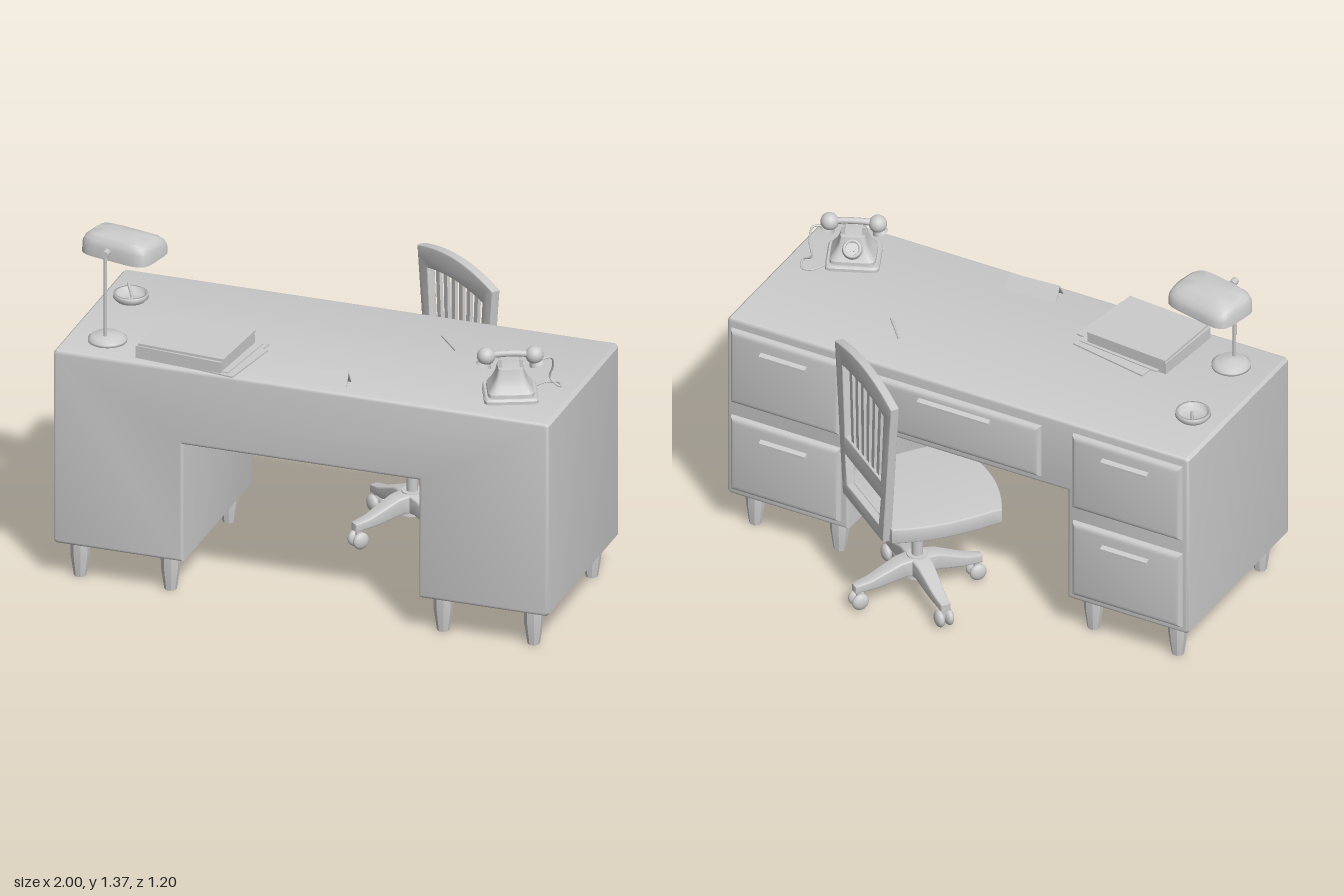
import * as THREE from 'three';
import { toCreasedNormals } from 'three/addons/utils/BufferGeometryUtils.js';

const mat = new THREE.MeshStandardMaterial({ color: 0xcccccc });
const thinMat = new THREE.MeshStandardMaterial({ color: 0xcccccc, side: THREE.DoubleSide });
const V = (x, y, z) => new THREE.Vector3(x, y, z);

function add(parent, name, geo, x = 0, y = 0, z = 0, material = mat) {
  const m = new THREE.Mesh(geo, material);
  m.name = name;
  m.position.set(x, y, z);
  parent.add(m);
  return m;
}
function addGroup(parent, name, x, y, z, turn = 0) {
  const g = new THREE.Group();
  g.name = name;
  g.position.set(x, y, z);
  g.rotation.y = turn;
  parent.add(g);
  return g;
}
const box = (w, h, d) => new THREE.BoxGeometry(w, h, d);
const cyl = (a, b, h, n = 24) => new THREE.CylinderGeometry(a, b, h, n);
const tube = (pts, r, n = 32) => new THREE.TubeGeometry(new THREE.CatmullRomCurve3(pts), n, r, 8);
const poly = pts => new THREE.Shape(pts.map(p => new THREE.Vector2(...p)));
const lathe = (pts, n = 32) => new THREE.LatheGeometry(pts.map(p => new THREE.Vector2(...p)), n);

// Extrusion centred on z = 0 with an optional bevel inside the total depth
function slab(shape, depth, bevel = 0, size = bevel) {
  const g = new THREE.ExtrudeGeometry(shape, {
    depth: depth - 2 * bevel, bevelEnabled: bevel > 0, bevelThickness: bevel,
    bevelSize: size, bevelOffset: -size, bevelSegments: 3, curveSegments: 16,
  });
  g.translate(0, 0, -depth / 2 + bevel);
  return toCreasedNormals(g, 0.6);
}

// Lathe profile squared off into a rounded rectangle plan of half sizes hx, hz
function squareLoft(profile, hx, hz, power = 5) {
  const g = lathe(profile, 64);
  const p = g.attributes.position;
  for (let i = 0; i < p.count; i++) {
    const x = p.getX(i), z = p.getZ(i), r = Math.hypot(x, z);
    if (r < 1e-6) continue;
    const f = Math.pow(Math.abs(x / r) ** power + Math.abs(z / r) ** power, -1 / power);
    p.setXYZ(i, x * f * hx, p.getY(i), z * f * hz);
  }
  return toCreasedNormals(g, 0.5);
}

function buildDesk(root) {
  const desk = addGroup(root, 'desk', 0, 0, 0);
  // Body: one arch-shaped block with softened edges
  const body = poly([[-1, .162], [-.988, .15], [-.475, .15], [-.475, .64], [.475, .64], [.475, .15],
    [.988, .15], [1, .162], [1, .943], [.988, .955], [-.988, .955], [-1, .943]]);
  add(desk, 'deskBody', slab(body, .795, .015), 0, 0, .19);
  // Drawers: centre x, centre y, width, height, handle width
  const drawers = [[0, .79, .73, .23, .31]];
  for (const s of [-1, 1]) for (const y of [.748, .35]) drawers.push([s * .74, y, .475, .335, .2]);
  for (const [x, y, w, h, hw] of drawers) {
    const face = poly([[-w / 2, -h / 2], [w / 2, -h / 2], [w / 2, h / 2], [-w / 2, h / 2]]);
    add(desk, 'drawer', slab(face, .05, .02, .025), x, y, -.205);
    const grip = poly([[0, 0], [.02, .012], [.02, .022], [0, .03]]);
    const handle = add(desk, 'drawerHandle', slab(grip, hw), x, y + h * .24, -.228);
    handle.rotation.y = Math.PI / 2;
  }
  // Tapered legs
  for (const x of [-.915, -.55, .55, .915]) for (const z of [-.135, .515]) {
    const geo = lathe([[0, 0], [.024, 0], [.037, .09], [.038, .155]], 8);
    geo.rotateY(Math.PI / 8);
    add(desk, 'deskLeg', toCreasedNormals(geo, .3), x, 0, z);
  }
}

function buildChair(root) {
  const chair = addGroup(root, 'chair', .145, 0, -.26, -.6435);
  // Seat
  const seat = new THREE.Shape();
  seat.moveTo(-.21, .2);
  seat.bezierCurveTo(-.26, .06, -.265, -.05, -.25, -.24);
  seat.quadraticCurveTo(0, -.36, .25, -.24);
  seat.bezierCurveTo(.265, -.05, .26, .06, .21, .2);
  seat.closePath();
  const seatMesh = add(chair, 'seat', slab(seat, .065, .006), 0, .442, 0);
  seatMesh.rotation.x = -Math.PI / 2;
  // Back frame with two openings
  const back = new THREE.Shape();
  back.moveTo(-.185, .41);
  back.lineTo(.185, .41);
  back.bezierCurveTo(.21, .6, .235, .85, .26, 1.06);
  back.quadraticCurveTo(0, 1.14, -.26, 1.06);
  back.bezierCurveTo(-.235, .85, -.21, .6, -.185, .41);
  back.holes.push(poly([[-.145, .47], [-.165, .6], [.165, .6], [.145, .47]]));
  const top = new THREE.Path();
  top.moveTo(-.165, .68);
  top.lineTo(-.19, .99);
  top.quadraticCurveTo(0, 1.03, .19, .99);
  top.lineTo(.165, .68);
  back.holes.push(top);
  add(chair, 'backFrame', slab(back, .035, .004), 0, 0, -.21);
  // Fanned slats
  for (let i = 0; i < 6; i++) {
    const t = (i - 2.5) / 3.5;
    const slat = add(chair, 'backSlat', box(.024, .35, .014), t * .175, .842, -.21);
    slat.rotation.z = -t * .08;
  }
  // Column and hub
  add(chair, 'column', cyl(.022, .022, .27), 0, .28, 0);
  add(chair, 'seatMount', cyl(.035, .03, .03), 0, .4, 0);
  add(chair, 'hub', cyl(.04, .055, .09), 0, .14, 0);
  // Four splayed legs with twin-wheel casters
  for (let i = 0; i < 4; i++) {
    const leg = addGroup(chair, 'chairLeg', 0, 0, 0, i * Math.PI / 2);
    const side = poly([[0, .1], [.06, .11], [.18, .085], [.265, .08], [.265, .11], [.2, .125], [.08, .175], [0, .185]]);
    const geo = slab(side, .08, .008);
    const p = geo.attributes.position;
    for (let k = 0; k < p.count; k++) p.setZ(k, p.getZ(k) * (1 - 1.9 * p.getX(k)));
    add(leg, 'legArm', toCreasedNormals(geo, .6));
    add(leg, 'casterStem', cyl(.01, .01, .05, 12), .245, .065, 0);
    for (const s of [-1, 1]) {
      const wheel = add(leg, 'casterWheel', new THREE.SphereGeometry(.034, 20, 14), .245, .04, s * .019);
      wheel.scale.z = .55;
    }
  }
}

function buildLamp(root) {
  const lamp = addGroup(root, 'lamp', -.835, 0, .43);
  add(lamp, 'lampBase', lathe([[0, .953], [.075, .953], [.075, .965], [.06, .977], [.02, .986], [0, .988]]));
  add(lamp, 'lampPole', tube([V(0, .98, .025), V(0, 1.2, .026), V(0, 1.32, .026)], .007));
  const knob = add(lamp, 'lampJoint', cyl(.014, .014, .03, 16), 0, 1.325, .02);
  knob.rotation.x = Math.PI / 2;
  // Open shade, sloping down toward the sitter
  const geo = squareLoft([[1, 0], [.99, .045], [.93, .065], [.8, .08], [.45, .088], [0, .09]], .15, .105);
  const p = geo.attributes.position;
  for (let i = 0; i < p.count; i++) {
    const drop = Math.max(0, -p.getZ(i)) / .105;
    p.setY(i, p.getY(i) * (1 - .4 * drop * drop));
  }
  add(lamp, 'lampShade', toCreasedNormals(geo, .5), .03, 1.282, -.11, thinMat).rotation.y = -.22;
}

function buildPhone(root) {
  const phone = addGroup(root, 'telephone', .77, .953, .375, .41);
  add(phone, 'phoneBase', squareLoft([[0, 0], [1, 0], [1, .014], [.94, .022], [0, .022]], .104, .097, 10));
  add(phone, 'phoneBody', squareLoft([[0, .01], [.9, .01], [.88, .035], [.7, .06], [.56, .09], [.48, .125], [0, .13]], .1, .093, 7));
  // Dial
  const dial = addGroup(phone, 'dial', 0, .083, -.06);
  dial.rotation.x = -.85;
  add(dial, 'dialPlate', cyl(.036, .04, .016));
  add(dial, 'dialHub', cyl(.013, .013, .012, 20), 0, .012, 0);
  const ring = add(dial, 'dialRing', new THREE.TorusGeometry(.031, .006, 10, 32), 0, .01, 0);
  ring.rotation.x = Math.PI / 2;
  // Cradle and handset
  for (const s of [-1, 1]) {
    for (const z of [-.02, .02]) add(phone, 'cradleProng', box(.012, .04, .01), s * .04, .138, z);
    add(phone, 'handsetEnd', new THREE.SphereGeometry(.035, 24, 16), s * .092, .165, 0);
    add(phone, 'handsetCup', cyl(.022, .03, .022), s * .098, .137, 0).rotation.z = s * .35;
  }
  add(phone, 'handsetBar', tube([V(-.09, .165, 0), V(-.04, .172, 0), V(.04, .172, 0), V(.09, .165, 0)], .013));
  add(phone, 'phoneCord', tube([V(.1, .14, 0), V(.155, .145, -.015), V(.165, .1, -.04), V(.155, .04, -.06),
    V(.19, .012, -.04), V(.19, .006, -.09), V(.15, .006, -.1), V(.09, .01, -.05)], .004, 64));
}

function buildDeskItems(root) {
  // Paper stack and loose sheets: width, depth, height, x, y, z, turn
  const papers = addGroup(root, 'papers', -.485, .955, .41);
  const sheets = [[.36, .3, .05, 0, .028, .01, -.1], [.34, .29, .006, .05, .003, -.035, -.19], [.35, .28, .006, .065, .006, .025, -.16],
    [.355, .295, .01, .005, .058, .005, -.08], [.36, .3, .004, .03, .012, 0, -.12]];
  for (const [w, d, h, x, y, z, a] of sheets) add(papers, 'paper', box(w, h, d), x, y, z).rotation.y = a;
  // Folded desk card
  const card = poly([[-.036, 0], [0, .056], [.036, 0], [.03, 0], [0, .047], [-.03, 0]]);
  add(root, 'deskCard', slab(card, .21), .06, .954, .51).rotation.y = Math.PI / 2 + .06;
  // Ashtray with a cigarette
  const tray = addGroup(root, 'ashtray', -.877, .954, .053);
  add(tray, 'trayBowl', lathe([[0, 0], [.055, 0], [.068, .014], [.066, .03], [.057, .03], [.05, .008], [0, .008]]));
  add(tray, 'cigarette', tube([V(.01, .014, .01), V(-.035, .036, -.068)], .006, 4));
  // Pen
  add(root, 'pen', tube([V(.35, .959, -.03), V(.445, .959, .08)], .005, 4));
}

export function createModel() {
  const root = new THREE.Group();
  root.name = 'officeDesk';
  buildDesk(root);
  buildChair(root);
  buildLamp(root);
  buildPhone(root);
  buildDeskItems(root);
  return root;
}
